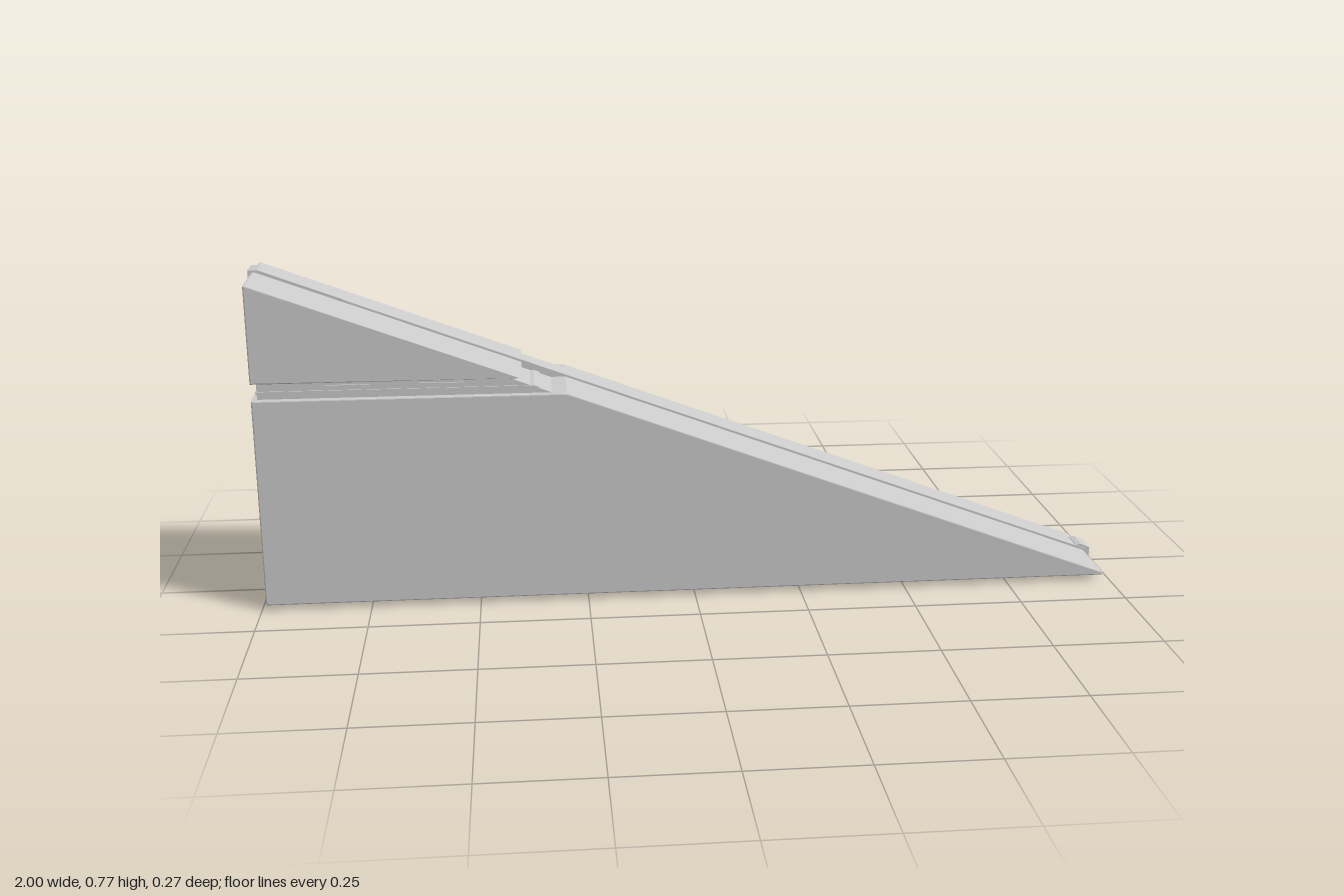
import * as THREE from 'three';

const SLOPE = 0.376;
const rampY = (x) => 0.76 - SLOPE * (x + 0.985); // height of the sloping face
const rampX = (y) => (0.76 - y) / SLOPE - 0.985;

export function createModel() {
  const group = new THREE.Group();
  const material = new THREE.MeshStandardMaterial({ color: 0xcccccc, flatShading: true });

  // Side outline extruded between two z values, with softened edges
  const slab = (name, points, z0, z1, bevel = 0) => {
    const shape = new THREE.Shape(points.map(([x, y]) => new THREE.Vector2(x, y)));
    const geometry = new THREE.ExtrudeGeometry(shape, {
      depth: z1 - z0 - 2 * bevel,
      bevelEnabled: bevel > 0,
      bevelThickness: bevel,
      bevelSize: bevel,
      bevelOffset: -bevel,
      bevelSegments: 2,
    });
    geometry.translate(0, 0, z0 + bevel);
    const mesh = new THREE.Mesh(geometry, material);
    mesh.name = name;
    group.add(mesh);
    return mesh;
  };

  // Main wedge below the groove and the smaller wedge above it
  slab('lowerWedge', [
    [-0.99, 0.012], [0.983, 0.012], [0.983, rampY(0.983)],
    [rampX(0.499), 0.499], [-0.99, 0.499],
  ], -0.133, 0.133, 0.003);
  slab('upperWedge', [
    [-0.99, 0.537], [rampX(0.537), 0.537], [-0.985, 0.76], [-0.99, 0.76],
  ], -0.133, 0.133, 0.003);

  // Recessed neck joining them, with a thin ridge around it
  const neck = (name, y0, y1, inset, halfDepth) => slab(name, [
    [-0.99 + inset, y0], [rampX(y0) - inset * 2.8, y0],
    [rampX(y1) - inset * 2.8, y1], [-0.99 + inset, y1],
  ], -halfDepth, halfDepth);
  neck('grooveCore', 0.49, 0.545, 0.012, 0.119);
  neck('grooveRidge', 0.512, 0.517, 0.009, 0.122);

  // Small tabs inside the groove on both faces
  for (const side of [-1, 1]) {
    for (const x of [-0.78, -0.57]) {
      const tab = new THREE.Mesh(new THREE.BoxGeometry(0.1, 0.01, 0.006), material);
      tab.name = 'grooveTab';
      tab.position.set(x, 0.524, side * 0.12);
      group.add(tab);
    }
  }

  // Raised off-centre band running round the back, base and slope
  const lift = 0.006;
  slab('band', [
    [-0.997, 0.002], [0.99, 0.002], [0.99, rampY(0.99) + lift],
    [-0.978, rampY(-0.978) + lift], [-0.997, 0.762],
  ], -0.075, -0.016, 0.001);

  // Sleeve over the band at the tall corner
  slab('topSleeve', [
    [-1, 0.69], [-0.83, 0.69], [-0.79, rampY(-0.79) + 0.007],
    [-0.978, rampY(-0.978) + 0.008], [-1, 0.765],
  ], -0.076, -0.015, 0.001);

  // Clasp over the band at the thin toe
  slab('toeClasp', [
    [0.94, 0], [0.995, 0], [1, 0.004], [1, 0.026],
    [0.978, 0.036], [0.965, rampY(0.965) + 0.007],
  ], -0.075, -0.018, 0.001);

  return group;
}
